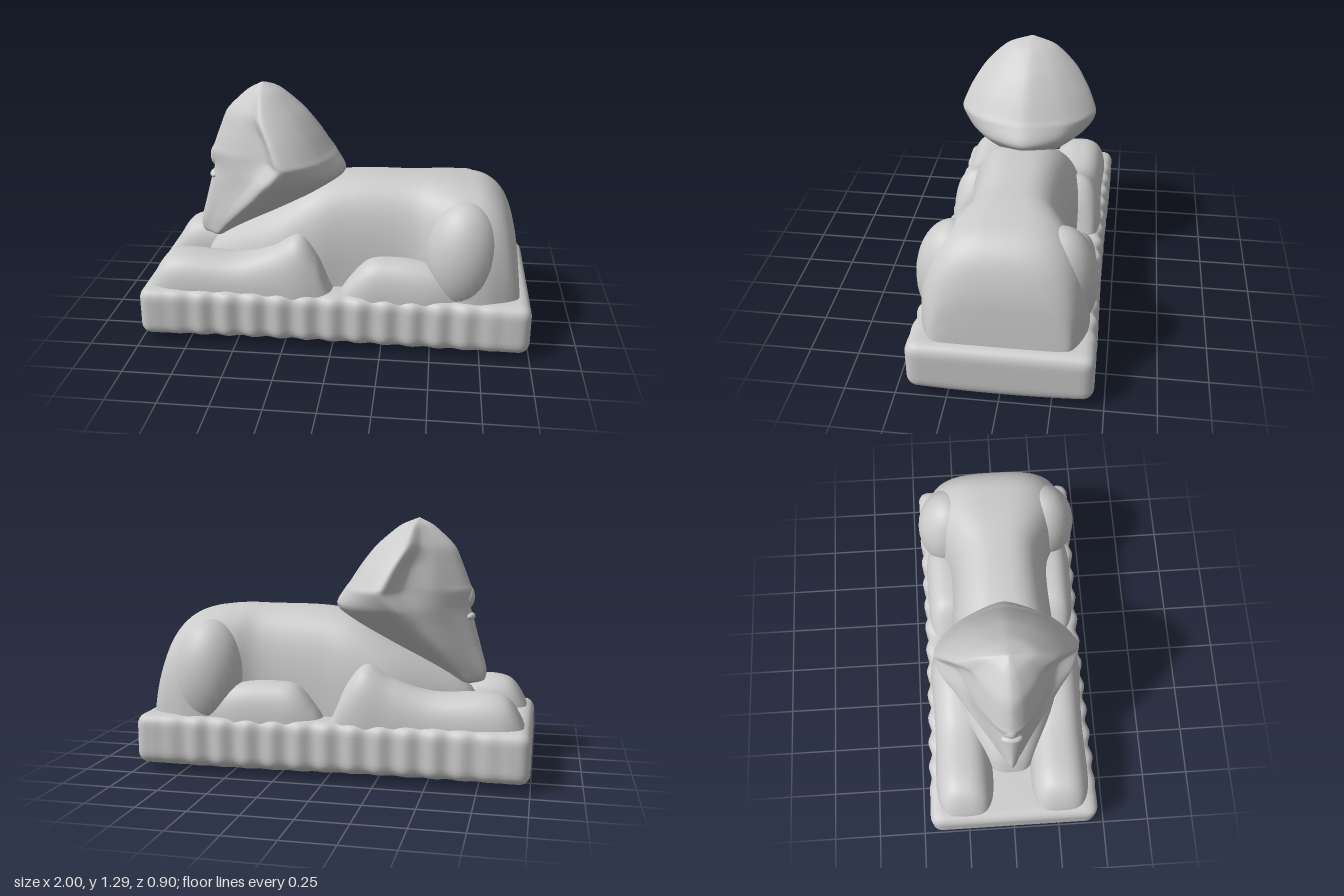
import * as THREE from 'three';
import { mergeVertices } from 'three/addons/utils/BufferGeometryUtils.js';

const material = new THREE.MeshStandardMaterial({ color: 0xcccccc, side: THREE.DoubleSide });

function part(name, geometry, parent) {
  const mesh = new THREE.Mesh(geometry, material);
  mesh.name = name;
  parent.add(mesh);
  return mesh;
}

// Joins rows of points into one smooth skin
function skin(rows) {
  const n = rows[0].length, index = [];
  for (let i = 0; i < rows.length - 1; i++)
    for (let j = 0; j < n - 1; j++) {
      const a = i * n + j, b = a + n;
      index.push(a, b, a + 1, b, b + 1, a + 1);
    }
  let g = new THREE.BufferGeometry().setFromPoints(rows.flat());
  g.setIndex(index);
  g = mergeVertices(g, 1e-4);
  g.computeVertexNormals();
  return g;
}

// Arched cross-sections [x, half width, top] swept along x, sunk into the plinth
function archLoft(sections, power, zc = 0, floor = 0.22) {
  const path = new THREE.CatmullRomCurve3(sections.map((s) => new THREE.Vector3(...s)));
  const rows = [];
  for (let i = 0; i <= 64; i++) {
    const { x, y: w, z: top } = path.getPoint(i / 64);
    const row = [];
    for (let j = 0; j <= 32; j++) {
      const a = (j / 32) * Math.PI, c = Math.cos(a), s = Math.max(0, Math.sin(a));
      row.push(new THREE.Vector3(
        x,
        floor + (top - floor) * s ** power,
        zc + w * Math.sign(c) * Math.abs(c) ** power
      ));
    }
    rows.push(row);
  }
  return skin(rows);
}

function ellipsoid(x, y, z, rx, ry, rz) {
  return new THREE.SphereGeometry(1, 32, 24).scale(rx, ry, rz).translate(x, y, z);
}

// Rounded plinth with rippled long sides and a slightly sagging underside
function plinthGeometry() {
  const half = new THREE.Vector3(1, 0.128, 0.45), r = 0.055;
  const box = new THREE.BoxGeometry(2, 0.256, 0.9, 120, 12, 36);
  box.deleteAttribute('uv');
  box.deleteAttribute('normal');
  const g = mergeVertices(box);
  const p = g.attributes.position, v = new THREE.Vector3();
  const low = half.clone().subScalar(r).negate(), high = half.clone().subScalar(r);
  for (let i = 0; i < p.count; i++) {
    v.fromBufferAttribute(p, i);
    const inner = v.clone().clamp(low, high);
    v.sub(inner).setLength(r).add(inner);
    const middle = Math.max(0, 1 - (v.x / 0.9) ** 2);
    const ripple = Math.min(1, middle * 2) * 0.009 * Math.cos((v.x * Math.PI * 2) / 0.135);
    const edge = THREE.MathUtils.smoothstep(Math.abs(v.z), 0.25, 0.42);
    v.z += Math.sign(v.z) * edge * (ripple - 0.018 * middle);
    const depth = THREE.MathUtils.clamp(-v.y / half.y, 0, 1);
    v.y -= 0.035 * depth * (1 - (v.z / 0.46) ** 2) * Math.exp(-(((v.x - 0.5) / 0.6) ** 2));
    p.setXYZ(i, v.x, v.y + 0.163, v.z);
  }
  g.computeVertexNormals();
  return g;
}

// Head and headcloth: levels [y, front x, wing x, wing half width, back x, face recess]
function headGeometry() {
  const levels = [
    [1.293, -0.40, -0.40, 0.0, -0.40, 0],
    [1.25, -0.48, -0.39, 0.13, -0.30, 0.1],
    [1.15, -0.585, -0.37, 0.24, -0.18, 0.5],
    [1.05, -0.63, -0.32, 0.31, -0.10, 1],
    [0.96, -0.665, -0.28, 0.352, -0.04, 1],
    [0.92, -0.68, -0.27, 0.358, -0.01, 0.9],
    [0.84, -0.67, -0.33, 0.335, 0.03, 0.6],
    [0.75, -0.695, -0.40, 0.27, -0.06, 0.3],
    [0.64, -0.725, -0.50, 0.19, -0.24, 0.1],
    [0.52, -0.757, -0.61, 0.10, -0.48, 0],
    [0.46, -0.745, -0.66, 0.06, -0.58, 0],
    [0.44, -0.68, -0.67, 0.0, -0.66, 0],
  ];
  const mix = THREE.MathUtils.lerp;
  const outlines = levels.map(([y, front, wing, w, back, recess]) => {
    const side = [
      [mix(front, wing, 0.1), 0.2 * w],
      [mix(front, wing, 0.42), 0.47 * w],
      [mix(front, wing, mix(0.68, 0.8, recess)), mix(0.73, 0.66, recess) * w],
      [wing, w],
      [mix(wing, back, 0.42), 0.86 * w],
      [mix(wing, back, 0.78), 0.54 * w],
    ];
    const mirrored = side.map(([x, z]) => [x, -z]).reverse();
    return [[front, 0], ...side, [back, 0], ...mirrored].map(([x, z]) => new THREE.Vector3(x, y, z));
  });
  const columns = outlines[0].map((_, j) =>
    new THREE.CatmullRomCurve3(outlines.map((o) => o[j]), false, 'catmullrom', 0.4));
  const rows = [];
  for (let i = 0; i <= 66; i++) {
    const ring = columns.map((c) => c.getPoint(i / 66));
    const loop = new THREE.CatmullRomCurve3(ring, true, 'catmullrom', 0.4);
    rows.push(Array.from({ length: 85 }, (_, j) => loop.getPoint((j % 84) / 84)));
  }
  return skin(rows);
}

export function createModel() {
  const model = new THREE.Group();
  model.name = 'recliningStatue';

  part('plinth', plinthGeometry(), model);

  // Chest, back and rump
  part('body', archLoft([
    [-0.76, 0.06, 0.25], [-0.68, 0.13, 0.42], [-0.5, 0.23, 0.56], [-0.3, 0.3, 0.68],
    [-0.1, 0.3, 0.79], [0.08, 0.28, 0.825], [0.4, 0.28, 0.83], [0.52, 0.34, 0.83],
    [0.64, 0.4, 0.82], [0.76, 0.405, 0.795], [0.85, 0.38, 0.72], [0.91, 0.35, 0.58],
    [0.935, 0.33, 0.42], [0.95, 0.31, 0.25],
  ], 0.68), model);

  part('head', headGeometry(), model);

  // Face relief
  part('nose', ellipsoid(-0.655, 0.89, 0, 0.035, 0.06, 0.035), model);
  part('mouth', ellipsoid(-0.665, 0.79, 0, 0.03, 0.022, 0.055), model);

  // Legs on both sides
  for (const s of [1, -1]) {
    const side = s > 0 ? 'left' : 'right';
    part(side + 'Foreleg', archLoft([
      [-0.975, 0.07, 0.24], [-0.95, 0.11, 0.32], [-0.88, 0.145, 0.42], [-0.8, 0.155, 0.447],
      [-0.5, 0.15, 0.44], [-0.32, 0.155, 0.5], [-0.18, 0.16, 0.57], [-0.09, 0.15, 0.48],
      [-0.02, 0.13, 0.32], [0.02, 0.11, 0.24],
    ], 0.75, s * 0.255), model);
    part(side + 'HindFoot', archLoft([
      [0.01, 0.06, 0.24], [0.08, 0.1, 0.35], [0.18, 0.125, 0.45], [0.3, 0.13, 0.465],
      [0.5, 0.13, 0.45], [0.66, 0.1, 0.4],
    ], 0.75, s * 0.285), model);
    part(side + 'Haunch', ellipsoid(0.65, 0.48, s * 0.26, 0.19, 0.29, 0.18), model);
  }
  return model;
}
